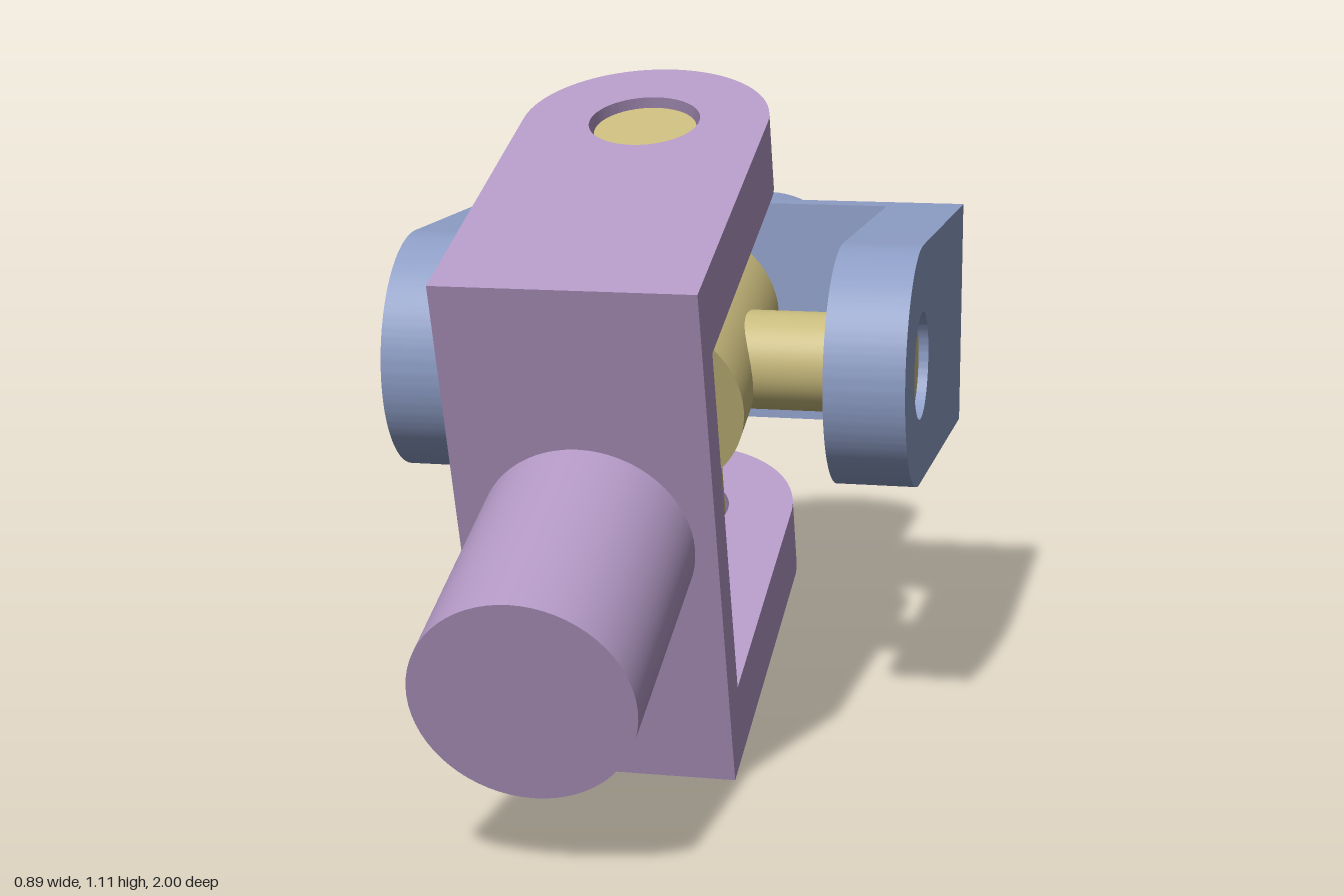
import * as THREE from 'three';
import { toCreasedNormals } from 'three/addons/utils/BufferGeometryUtils.js';

const CENTER_Y = 0.622;           // height of the joint centre
const TILT = THREE.MathUtils.degToRad(20);
const HALF = 0.206;               // half height of the yoke, radius of the arm ends
const INNER = 0.31, OUTER = 0.446; // arm faces, measured from the centre
const BACK = 0.587, BACK_IN = 0.52; // base plate faces
const SHAFT_END = 1, SHAFT_R = 0.171;
const PIN_R = 0.085, PIN_END = 0.43, HOLE_R = 0.092;

function addMesh(parent, name, geometry, material) {
  const mesh = new THREE.Mesh(geometry, material);
  mesh.name = name;
  parent.add(mesh);
  return mesh;
}

// Arm plate with a rounded end and a pin hole, extruded along x
function armGeometry() {
  const shape = new THREE.Shape();
  shape.moveTo(BACK, -HALF);
  shape.lineTo(BACK, HALF);
  shape.lineTo(0, HALF);
  shape.absarc(0, 0, HALF, Math.PI / 2, Math.PI * 1.5, false);
  shape.closePath();
  const hole = new THREE.Path();
  hole.absarc(0, 0, HOLE_R, 0, Math.PI * 2, true);
  shape.holes.push(hole);
  const geometry = new THREE.ExtrudeGeometry(shape, {
    depth: OUTER - INNER, bevelEnabled: false, curveSegments: 48,
  });
  geometry.rotateY(Math.PI / 2);
  return toCreasedNormals(geometry, Math.PI / 6);
}

// Fork with its shaft along -z and its arms at either side in x
function makeYoke(name, color) {
  const yoke = new THREE.Group();
  yoke.name = name;
  const material = new THREE.MeshStandardMaterial({ color });

  const arm = armGeometry();
  addMesh(yoke, 'leftArm', arm, material).position.x = INNER;
  addMesh(yoke, 'rightArm', arm, material).position.x = -OUTER;

  const base = new THREE.BoxGeometry(INNER * 2, HALF * 2, BACK - BACK_IN);
  addMesh(yoke, 'basePlate', base, material).position.z = -(BACK + BACK_IN) / 2;

  const shaft = new THREE.CylinderGeometry(SHAFT_R, SHAFT_R, SHAFT_END - BACK, 64);
  shaft.rotateX(Math.PI / 2);
  addMesh(yoke, 'shaft', shaft, material).position.z = -(SHAFT_END + BACK) / 2;
  return yoke;
}

// Round hub carrying two crossed pins
function makeCross() {
  const cross = new THREE.Group();
  cross.name = 'cross';
  const material = new THREE.MeshStandardMaterial({ color: 0xc8ba7c });

  const hub = new THREE.CylinderGeometry(SHAFT_R, SHAFT_R, 0.342, 64);
  addMesh(cross, 'hub', hub, material).rotation.x = Math.PI / 2;

  const pin = new THREE.CylinderGeometry(PIN_R, PIN_R, PIN_END * 2, 48);
  addMesh(cross, 'uprightPin', pin, material);
  addMesh(cross, 'crosswisePin', pin, material).rotation.z = Math.PI / 2;
  return cross;
}

export function createModel() {
  const model = new THREE.Group();
  model.name = 'universalJoint';

  const joint = new THREE.Group();
  joint.name = 'joint';
  joint.position.y = CENTER_Y;
  model.add(joint);

  const rearYoke = makeYoke('rearYoke', 0x8c9cc4);

  // Front fork is turned a quarter about its shaft and tilted down
  const frontYoke = makeYoke('frontYoke', 0xb298c4);
  frontYoke.rotation.set(TILT, Math.PI, Math.PI / 2);

  const cross = makeCross();
  cross.rotation.x = TILT;

  joint.add(rearYoke, frontYoke, cross);
  return model;
}
